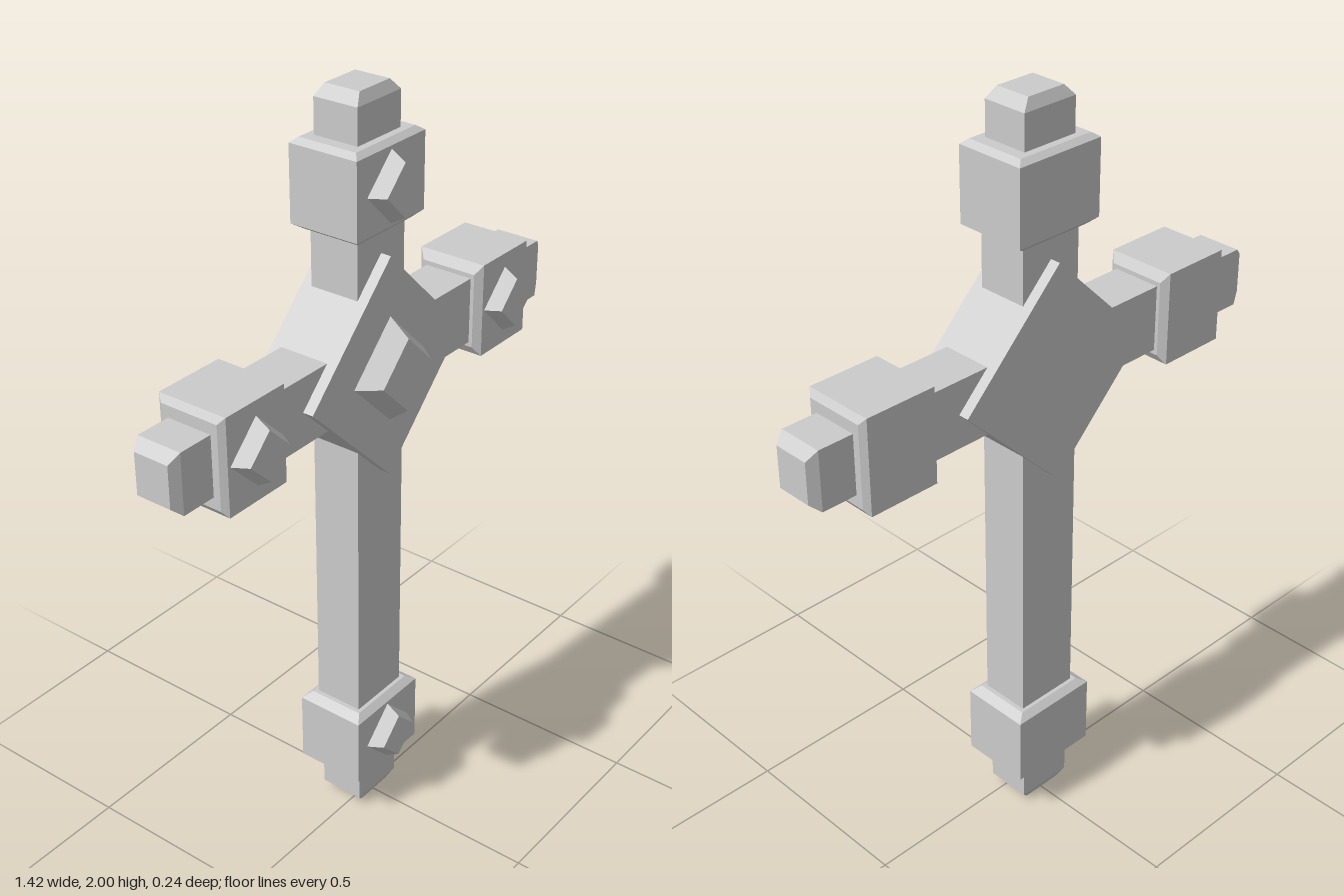
import * as THREE from 'three';

const material = new THREE.MeshStandardMaterial({ color: 0xcccccc, flatShading: true });
const CENTRE_Y = 1.321, CENTRE_Z = -0.026, FRONT_Z = 0.069;

// Rectangular loft along y; each section is [y, halfWidth, halfDepth]
function loft(name, sections) {
  const box = new THREE.BoxGeometry(2, sections.length - 1, 2, 1, sections.length - 1, 1);
  const p = box.attributes.position;
  for (let i = 0; i < p.count; i++) {
    const [y, w, d] = sections[Math.round(p.getY(i) + (sections.length - 1) / 2)];
    p.setXYZ(i, Math.sign(p.getX(i)) * w, y, Math.sign(p.getZ(i)) * d);
  }
  const geometry = box.toNonIndexed();
  geometry.computeVertexNormals();
  const mesh = new THREE.Mesh(geometry, material);
  mesh.name = name;
  return mesh;
}

// Diamond stud facing +z; r0 and r1 are the base and top half-diagonals
function stud(name, r0, r1, height) {
  const a = r0 / Math.SQRT2, b = r1 / Math.SQRT2;
  const mesh = loft(name, [[-0.01, a, a], [0, a, a], [height, b, b]]);
  mesh.geometry.rotateY(Math.PI / 4).rotateX(Math.PI / 2);
  return mesh;
}

// One arm pointing along local +y: bar, bevelled collar, tapered tip and stud
function arm(name, angle, collarAt, length) {
  const c = collarAt, group = new THREE.Group();
  group.name = name;
  const gem = stud('collarStud', 0.088, 0.065, 0.038);
  gem.position.set(0, c, FRONT_Z - CENTRE_Z);
  group.add(
    loft('bar', [[0, 0.088, 0.067], [c, 0.088, 0.067]]),
    loft('collar', [[c - 0.111, 0.1, 0.077], [c - 0.095, 0.125, 0.095],
      [c + 0.096, 0.125, 0.095], [c + 0.108, 0.108, 0.08]]),
    loft('tip', [[c, 0.078, 0.061], [length - 0.027, 0.078, 0.061], [length, 0.054, 0.048]]),
    gem
  );
  group.position.set(0, CENTRE_Y, CENTRE_Z);
  group.rotation.z = angle;
  return group;
}

export function createModel() {
  const model = new THREE.Group();
  model.name = 'cross';
  model.add(
    arm('upperArm', 0, 0.456, 0.679),
    arm('leftArm', -Math.PI / 2, 0.479, 0.708),
    arm('rightArm', Math.PI / 2, 0.479, 0.708),
    arm('lowerShaft', Math.PI, 1.09, 1.321)
  );

  // Diamond plate over the crossing
  const side = 0.288 * Math.SQRT2;
  const plate = new THREE.Mesh(new THREE.BoxGeometry(side, side, 0.19), material);
  plate.name = 'centrePlate';
  plate.position.set(0, CENTRE_Y, CENTRE_Z);
  plate.rotation.z = Math.PI / 4;

  const gem = stud('centreStud', 0.137, 0.095, 0.053);
  gem.position.set(0, CENTRE_Y, FRONT_Z);
  model.add(plate, gem);
  return model;
}
